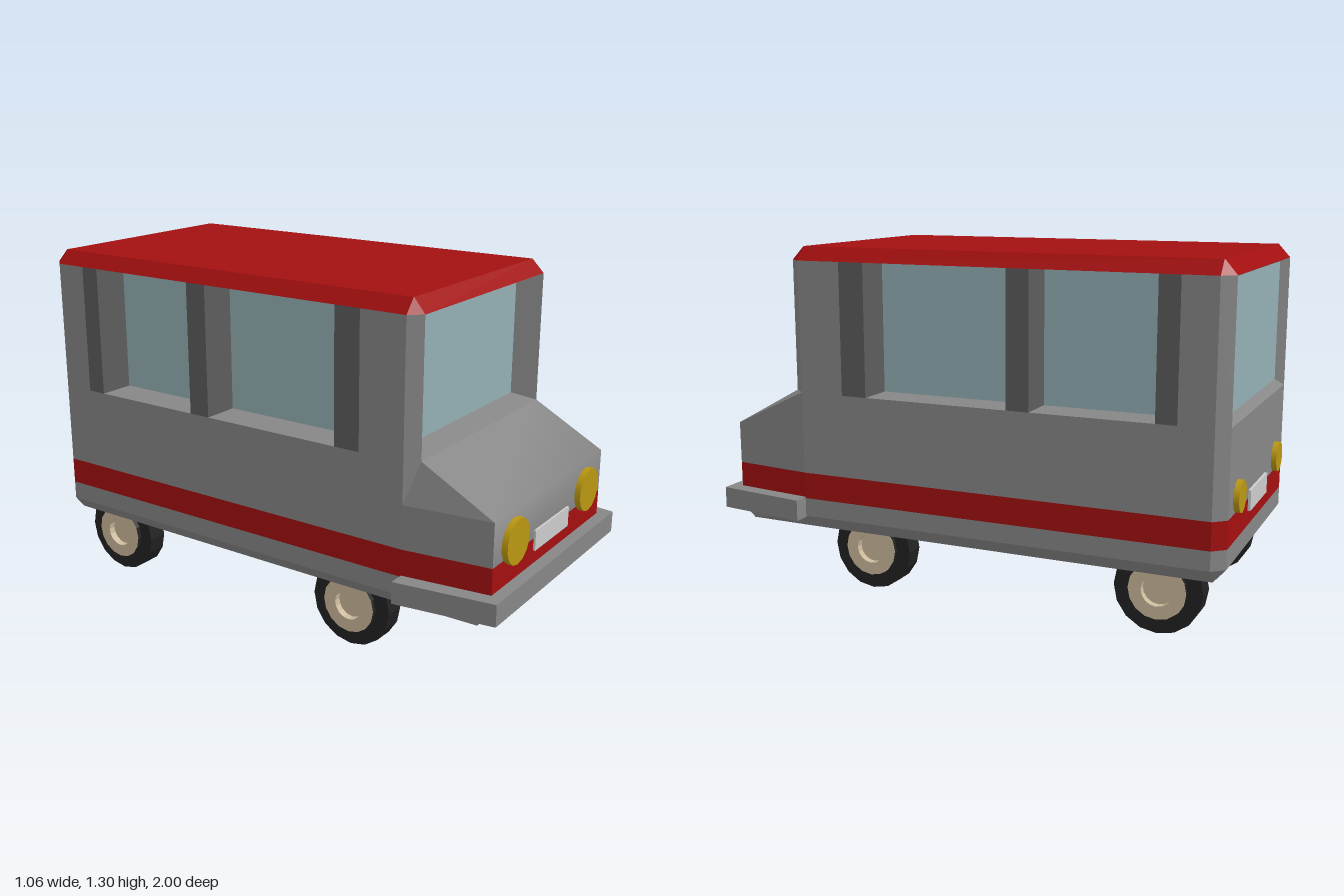
import * as THREE from 'three';
import { toCreasedNormals } from 'three/addons/utils/BufferGeometryUtils.js';

const mat = (color) => new THREE.MeshStandardMaterial({ color });
const paint = mat(0x868686), dark = mat(0x5c5c5c), red = mat(0xa30f0f), glass = mat(0x93afb3);
const amber = mat(0xba9711), plate = mat(0xcccccc), rubber = mat(0x222222), rim = mat(0xcbb99c);
rubber.flatShading = true;
rim.flatShading = true;

export function createModel() {
  const model = new THREE.Group();
  const add = (name, geo, material, x = 0, y = 0, z = 0, parent = model) => {
    const m = new THREE.Mesh(geo, material);
    m.name = name;
    m.position.set(x, y, z);
    parent.add(m);
    return m;
  };
  // box given by its limits
  const box = (name, material, x0, x1, y0, y1, z0, z1) =>
    add(name, new THREE.BoxGeometry(x1 - x0, y1 - y0, z1 - z0), material,
      (x0 + x1) / 2, (y0 + y1) / 2, (z0 + z1) / 2);
  // plan outline of [x, z] points, raised from y0 to y1
  const planExtrude = (pts, y0, y1) => {
    const shape = new THREE.Shape(pts.map(([x, z]) => new THREE.Vector2(x, z)));
    return new THREE.ExtrudeGeometry(shape, { depth: y1 - y0, bevelEnabled: false })
      .rotateX(Math.PI / 2).translate(0, y1, 0);
  };

  // eight-cornered cross-section: flank width, corner width, then z of the four steps
  const ring = (y, zf, hx = 0.47, cx = 0.43, zs = 0.635, zr = -0.935, zb = -0.98) =>
    [[cx, zf], [hx, zs], [hx, zr], [cx, zb], [-cx, zb], [-hx, zr], [-hx, zs], [-cx, zf]]
      .map(([x, z]) => [x, y, z]);
  const ALL = [0, 1, 2, 3, 4, 5, 6, 7];
  const loft = (rings, sides = ALL, capBottom = false, capTop = false) => {
    const pos = [];
    const tri = (a, b, c) => pos.push(...a, ...b, ...c);
    for (let r = 0; r + 1 < rings.length; r++) {
      for (const i of sides) {
        const j = (i + 1) % 8, lo = rings[r], hi = rings[r + 1];
        tri(lo[i], lo[j], hi[j]);
        tri(lo[i], hi[j], hi[i]);
      }
    }
    const top = rings[rings.length - 1], bottom = rings[0];
    for (let i = 1; i < 7; i++) {
      if (capTop) tri(top[0], top[i], top[i + 1]);
      if (capBottom) tri(bottom[0], bottom[i + 1], bottom[i]);
    }
    const g = new THREE.BufferGeometry();
    g.setAttribute('position', new THREE.Float32BufferAttribute(pos, 3));
    g.computeVertexNormals();
    return g;
  };

  // lower body, stripe, hood and roof
  const floor = ring(0.23, 0.905, 0.43, 0.425, 0.635, -0.935, -0.936);
  const waist = [ring(0.45, 0.955), ring(0.61, 0.955), ring(0.76, 0.68)];
  add('underbody', loft([floor, ring(0.28, 0.955), ring(0.35, 0.955)], ALL, true), paint);
  add('stripe', loft([ring(0.35, 0.955), ring(0.45, 0.955)]), red);
  add('bodySides', loft(waist, ALL.slice(0, 7), false, true), paint);
  add('hood', toCreasedNormals(loft(waist, [7]), 1.2), paint);
  add('roof', loft([ring(1.25, 0.68), ring(1.3, 0.635, 0.426, 0.425, 0.634, -0.935, -0.936)],
    ALL, true, true), red);

  // corner posts and side pillars
  for (const s of [1, -1]) {
    const post = (pts) => planExtrude(pts.map(([x, z]) => [s * x, z]), 0.76, 1.25);
    add('frontPost', post([[0.47, 0.46], [0.47, 0.635], [0.43, 0.68], [0.385, 0.59],
      [0.33, 0.59], [0.33, 0.46]]), paint);
    add('rearPost', post([[0.47, -0.81], [0.47, -0.935], [0.43, -0.98], [0.4, -0.945],
      [0.33, -0.945], [0.33, -0.81]]), paint);
    for (const [z0, z1] of [[0.36, 0.46], [-0.285, -0.2], [-0.81, -0.735]]) {
      const [x0, x1] = s > 0 ? [0.32, 0.47] : [-0.47, -0.32];
      box('sidePillar', dark, x0, x1, 0.76, 1.25, z0, z1);
    }
  }

  // glazing, set back from the walls
  box('sideGlass', glass, -0.33, 0.33, 0.76, 1.25, -0.93, 0.57);
  box('windscreen', glass, -0.39, 0.39, 0.76, 1.25, 0.57, 0.592);
  box('rearGlass', glass, -0.405, 0.405, 0.76, 1.25, -0.948, -0.93);

  // sloping sill and header of the end windows: triangular bars along x
  const bar = (name, outer, inner, yEdge, yIn, w) => {
    const shape = new THREE.Shape([[outer, yEdge], [inner, yEdge], [inner, yIn]]
      .map(([z, y]) => new THREE.Vector2(-z, y)));
    const g = new THREE.ExtrudeGeometry(shape, { depth: 2 * w, bevelEnabled: false })
      .translate(0, 0, -w).rotateY(Math.PI / 2);
    add(name, g, paint);
  };
  bar('frontSill', 0.68, 0.59, 0.76, 0.785, 0.428);
  bar('frontHeader', 0.68, 0.59, 1.25, 1.225, 0.428);
  bar('rearSill', -0.98, -0.945, 0.76, 0.785, 0.428);
  bar('rearHeader', -0.98, -0.945, 1.25, 1.235, 0.428);

  // wrap-around bumper
  add('bumper', planExtrude([[-0.53, 0.635], [-0.48, 1], [0.48, 1], [0.53, 0.635],
    [0.465, 0.635], [0.425, 0.95], [-0.425, 0.95], [-0.465, 0.635]], 0.275, 0.355), paint);

  // lamps and plates
  const lamp = (name, r, x, y, z, depth) => add(name,
    new THREE.CylinderGeometry(r, r, depth, 14).rotateX(Math.PI / 2), amber, x, y, z);
  for (const s of [1, -1]) {
    lamp('headlight', 0.082, s * 0.288 - 0.004, 0.502, 0.96, 0.034);
    lamp('rearLight', 0.057, s * 0.305 + 0.01, 0.505, -0.985, 0.03);
  }
  box('frontPlate', plate, -0.13, 0.14, 0.405, 0.48, 0.945, 0.963);
  box('rearPlate', plate, -0.13, 0.14, 0.405, 0.48, -0.99, -0.97);

  // wheels: stepped tyre with a dished hub on each face
  const lathe = (pts) => new THREE.LatheGeometry(
    pts.map(([r, y]) => new THREE.Vector2(r, y)), 16).rotateZ(-Math.PI / 2);
  const tyre = lathe([[0.105, -0.055], [0.105, -0.038], [0.16, -0.038],
    [0.16, 0.038], [0.105, 0.038], [0.105, 0.055]]);
  const hub = lathe([[0, -0.028], [0.057, -0.028], [0.057, -0.055], [0.105, -0.055],
    [0.105, -0.055], [0.104, 0.055], [0.057, 0.055], [0.057, 0.028], [0, 0.028]]);
  for (const x of [-0.375, 0.345]) {
    for (const z of [0.395, -0.735]) {
      const wheel = new THREE.Group();
      wheel.name = z > 0 ? 'frontWheel' : 'rearWheel';
      wheel.position.set(x, 0.16, z);
      add('tyre', tyre, rubber, 0, 0, 0, wheel);
      add('hub', hub, rim, 0, 0, 0, wheel);
      model.add(wheel);
      // short stub axle up into the floor
      box('axleMount', dark, x - 0.02, x + 0.02, 0.2, 0.235, z - 0.02, z + 0.02);
    }
  }
  return model;
}
